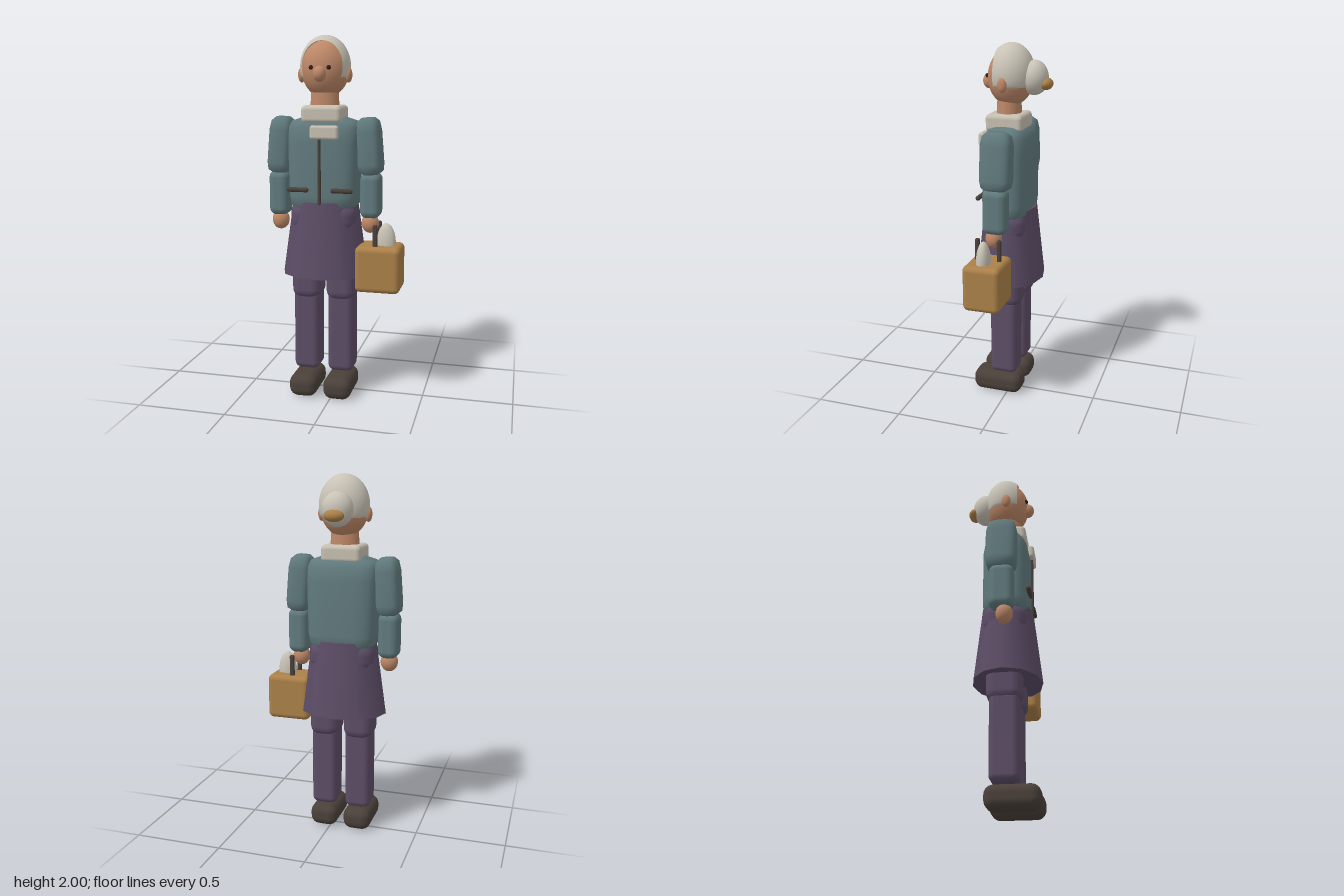
import * as THREE from 'three';
import { RoundedBoxGeometry } from 'three/addons/geometries/RoundedBoxGeometry.js';

const mat = (name, color, side = THREE.FrontSide) => {
  const m = new THREE.MeshStandardMaterial({ color, side });
  m.name = name;
  return m;
};

// Closed stack of rounded-rectangle rings; each ring is [y, rx, rz, z]
function loft(rings, power = 0.6, n = 24) {
  const pos = [], idx = [];
  const bend = (v) => Math.sign(v) * Math.abs(v) ** power;
  for (const [y, rx, rz, z] of rings) {
    for (let i = 0; i < n; i++) {
      const a = (i / n) * Math.PI * 2;
      pos.push(rx * bend(Math.sin(a)), y, z + rz * bend(Math.cos(a)));
    }
  }
  for (let r = 0; r < rings.length - 1; r++) {
    for (let i = 0; i < n; i++) {
      const a = r * n + i, b = r * n + ((i + 1) % n);
      idx.push(a, b, b + n, a, b + n, a + n);
    }
  }
  const top = (rings.length - 1) * n;
  for (let i = 1; i < n - 1; i++) idx.push(0, i + 1, i, top, top + i, top + i + 1);
  const g = new THREE.BufferGeometry();
  g.setAttribute('position', new THREE.Float32BufferAttribute(pos, 3));
  g.setIndex(idx);
  g.computeVertexNormals();
  return g;
}

export function createModel() {
  const model = new THREE.Group();
  model.name = 'woman';
  const skin = mat('skin', 0xbd8767);
  const hair = mat('hair', 0xc9c3b6, THREE.DoubleSide);
  const cream = mat('cream', 0xc6bfb0);
  const teal = mat('teal', 0x617a7d);
  const purple = mat('purple', 0x5c4d66);
  const dark = mat('dark', 0x4a403a);
  const eyeBlack = mat('eyeBlack', 0x2a2220);
  const ochre = mat('ochre', 0xab8048);

  // The body is centred on its own group, the bag hangs to its left
  const body = new THREE.Group();
  body.name = 'body';
  body.position.x = -0.06;
  model.add(body);

  const add = (name, geo, material, x, y, z, parent = body) => {
    const m = new THREE.Mesh(geo, material);
    m.name = name;
    m.position.set(x, y, z);
    parent.add(m);
    return m;
  };
  const ball = (name, material, x, y, z, rx, ry, rz, parent = body) =>
    add(name, new THREE.SphereGeometry(1, 28, 20).scale(rx, ry, rz), material, x, y, z, parent);
  const box = (name, material, x, y, z, w, h, d, r, parent = body) =>
    add(name, new RoundedBoxGeometry(w, h, d, 4, r), material, x, y, z, parent);

  // Head and face
  ball('head', skin, 0, 1.82, 0.02, 0.13, 0.153, 0.125);
  ball('nose', skin, 0, 1.795, 0.14, 0.035, 0.042, 0.037);
  add('neck', new THREE.CylinderGeometry(0.075, 0.085, 0.16, 20).scale(1, 1, 0.85), skin, 0, 1.62, 0.03);

  // Hair cap: ellipsoid open at the forehead, flat along the nape
  const profile = [];
  for (let i = 0; i <= 20; i++) {
    const a = THREE.MathUtils.lerp(0.95, Math.PI, i / 20);
    profile.push(new THREE.Vector2(Math.max(Math.sin(a), 0.0001), -Math.cos(a)));
  }
  const cap = new THREE.LatheGeometry(profile, 40).rotateX(-Math.PI / 2).scale(0.138, 0.166, 0.125);
  const p = cap.attributes.position;
  for (let i = 0; i < p.count; i++) p.setY(i, Math.max(p.getY(i), -0.06));
  cap.computeVertexNormals();
  add('hairCap', cap, hair, 0, 1.834, 0.016);
  ball('hairBun', hair, 0, 1.82, -0.11, 0.085, 0.092, 0.075);
  ball('bunTie', ochre, 0, 1.79, -0.175, 0.055, 0.032, 0.036);

  // Collar, jacket and its trim
  box('collar', cream, 0, 1.583, 0.032, 0.22, 0.095, 0.205, 0.025);
  box('neckTie', cream, 0.028, 1.49, 0.158, 0.155, 0.075, 0.035, 0.015);
  add('jacket', loft([
    [1.07, 0.165, 0.105, 0.02], [1.09, 0.185, 0.125, 0.02], [1.14, 0.193, 0.132, 0.022],
    [1.44, 0.2, 0.132, 0.022], [1.51, 0.198, 0.12, 0.022], [1.545, 0.18, 0.1, 0.024], [1.568, 0.11, 0.07, 0.026],
  ]), teal, 0, 0, 0);
  box('zipper', dark, 0, 1.28, 0.157, 0.016, 0.36, 0.02, 0.006);

  // Skirt and hips
  add('skirt', new THREE.CylinderGeometry(0.185, 0.245, 0.415, 12).scale(1, 1, 0.775), purple, 0, 0.9025, 0.02);
  box('hips', purple, 0, 1.02, 0.02, 0.37, 0.19, 0.24, 0.08);

  // Paired parts
  for (const s of [-1, 1]) {
    const side = s > 0 ? 'left' : 'right';
    ball(side + 'Ear', skin, s * 0.13, 1.79, 0.028, 0.02, 0.041, 0.026);
    ball(side + 'Eye', eyeBlack, s * 0.048, 1.828, 0.135, 0.012, 0.012, 0.012);
    add(side + 'Pocket', new THREE.CapsuleGeometry(0.013, 0.096, 6, 12).rotateZ(Math.PI / 2), dark, s * 0.122, 1.18, 0.155);

    const upper = add(side + 'UpperArm', loft([
      [-0.155, 0.04, 0.055, 0], [-0.14, 0.062, 0.078, 0], [-0.1, 0.068, 0.086, 0], [0.08, 0.066, 0.086, 0],
      [0.13, 0.058, 0.076, 0], [0.152, 0.035, 0.05, 0],
    ]), teal, s * 0.248, 1.413, 0.02);
    upper.rotation.z = s * 0.07;
    box(side + 'Forearm', teal, s * 0.258, 1.145, 0.022, 0.112, 0.25, 0.135, 0.04);
    ball(side + 'Hand', skin, s * 0.256, 0.992, 0.035, 0.048, 0.055, 0.045);

    box(side + 'Thigh', purple, s * 0.098, 0.76, 0.017, 0.165, 0.42, 0.19, 0.055);
    box(side + 'Shin', purple, s * 0.098, 0.367, 0.018, 0.145, 0.465, 0.155, 0.035);
    box(side + 'Shoe', dark, s * 0.098, 0.063, 0.058, 0.158, 0.125, 0.285, 0.05);
  }

  // Bag with two handle posts and an egg-shaped bundle on top
  const bag = new THREE.Group();
  bag.name = 'bag';
  bag.position.set(0.255, 0, 0.053);
  model.add(bag);
  box('bagBody', ochre, 0, 0.752, 0, 0.247, 0.255, 0.207, 0.03, bag);
  for (const z of [-0.063, 0.06]) {
    box('bagHandle', dark, -0.016, 0.93, z, 0.026, 0.135, 0.024, 0.009, bag);
  }
  ball('bundle', hair, 0.036, 0.885, 0.008, 0.053, 0.115, 0.038, bag);

  return model;
}
